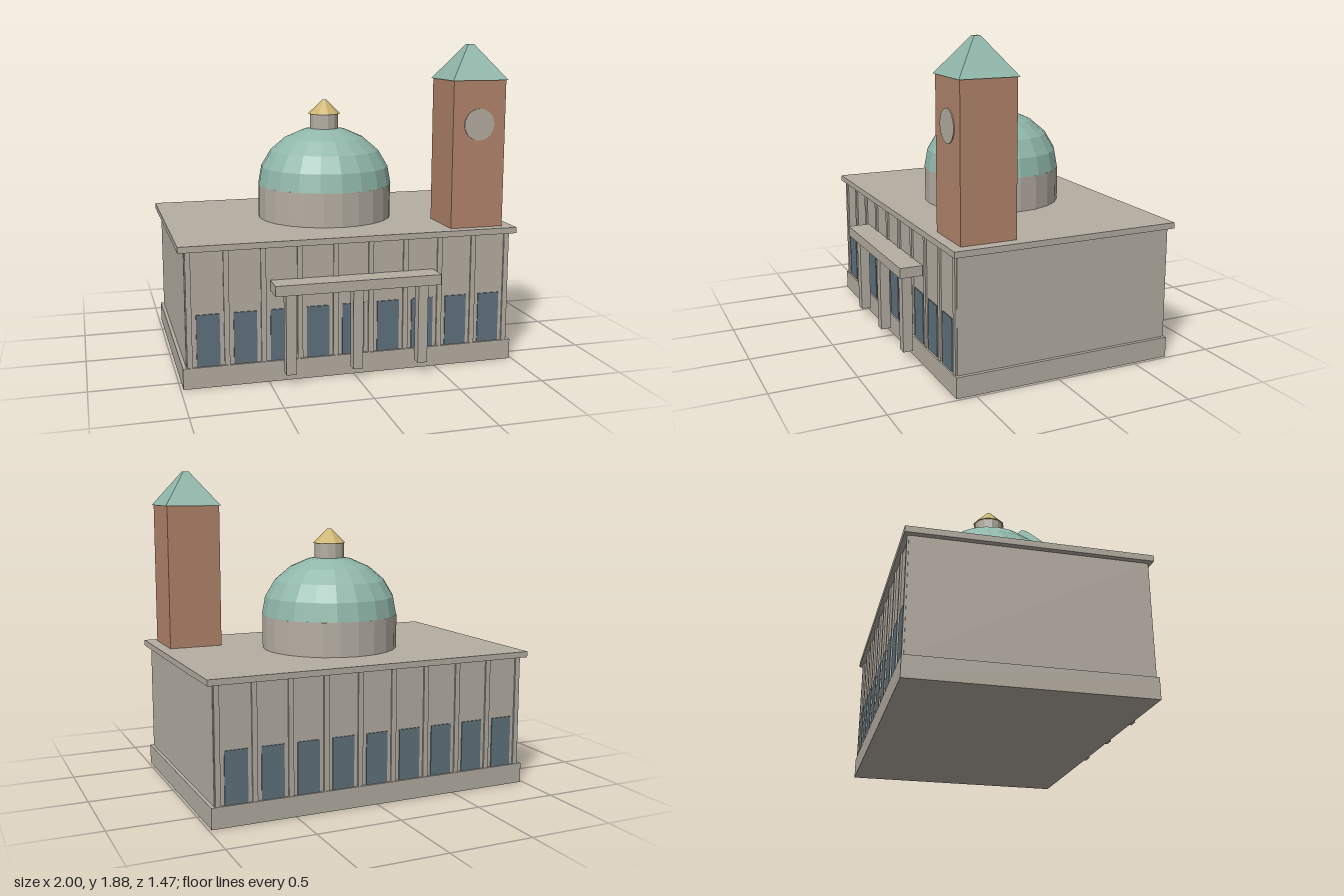
import * as THREE from 'three';

const mat = (name, color) => {
  const m = new THREE.MeshStandardMaterial({ color });
  m.name = name;
  return m;
};

export function createModel() {
  const stone = mat('stone', 0xb4ada2);
  const brick = mat('brick', 0xb2856b);
  const copper = mat('weatheredCopper', 0x90b7aa);
  const glass = mat('windowGlass', 0x5f727c);
  const gold = mat('gilding', 0xcbb36f);

  const model = new THREE.Group();
  model.name = 'domedHall';
  const zc = -0.055; // centre of the hall in depth

  const add = (name, geometry, material, x, y, z) => {
    const mesh = new THREE.Mesh(geometry, material);
    mesh.name = name;
    mesh.position.set(x, y, z);
    model.add(mesh);
    return mesh;
  };
  // box given by its width, bottom, top and depth
  const box = (name, material, w, y0, y1, d, x, z) =>
    add(name, new THREE.BoxGeometry(w, y1 - y0, d), material, x, (y0 + y1) / 2, z);
  // faceted solid of revolution from [radius, height] points
  const turned = (name, material, points, sides, x, z) => {
    const profile = points.map(([r, y]) => new THREE.Vector2(r, y));
    const geometry = new THREE.LatheGeometry(profile, sides).toNonIndexed();
    geometry.computeVertexNormals();
    return add(name, geometry, material, x, 0, z);
  };

  // main block
  box('plinth', stone, 1.97, 0, 0.12, 1.33, 0, zc);
  box('walls', stone, 1.93, 0.12, 0.78, 1.3, 0, zc);
  box('roofSlab', stone, 2, 0.78, 0.815, 1.356, 0, zc);

  // nine window bays with slim pilasters, front and back
  const pitch = 0.21;
  for (const side of [1, -1]) {
    const z = zc + side * 0.65;
    for (let i = -4; i <= 4; i++) {
      box('window', glass, 0.132, 0.115, 0.42, 0.008, i * pitch, z + side * 0.002);
    }
    for (let i = -4.5; i <= 4.5; i++) {
      box('pilaster', stone, 0.03, 0.12, 0.78, 0.014, i * pitch, z + side * 0.003);
    }
  }

  // entrance porch
  box('porchRoof', stone, 0.97, 0.53, 0.59, 0.135, 0, 0.666);
  for (const x of [-0.39, 0, 0.39]) {
    box('porchColumn', stone, 0.058, 0.06, 0.53, 0.06, x, 0.669);
  }

  // drum, dome and lantern
  turned('drum', stone, [[0.415, 0.815], [0.415, 1.02]], 24, 0, zc);
  const domePoints = [];
  for (let i = 0; i <= 5; i++) {
    const a = (i / 5) * Math.PI / 2;
    domePoints.push([Math.max(0, 0.417 * Math.cos(a)), 1.02 + 0.357 * Math.sin(a)]);
  }
  turned('dome', copper, domePoints, 20, 0, zc);
  turned('lantern', stone, [[0.09, 1.34], [0.09, 1.455]], 12, 0, zc);
  turned('lanternCap', gold, [[0, 1.455], [0.1, 1.455], [0.012, 1.542], [0, 1.542]], 10, 0, zc);

  // clock tower
  const tx = 0.77, tz = 0.397;
  box('towerShaft', brick, 0.325, 0.8, 1.68, 0.325, tx, tz);
  const towerRoof = turned('towerRoof', copper,
    [[0, 1.68], [0.172 * Math.SQRT2, 1.68], [0.018 * Math.SQRT2, 1.885], [0, 1.885]], 4, tx, tz);
  towerRoof.rotation.y = Math.PI / 4;
  const clock = add('clockFace', new THREE.CylinderGeometry(0.093, 0.093, 0.009, 24), stone,
    tx, 1.425, tz + 0.1635);
  clock.rotation.x = Math.PI / 2;

  return model;
}
